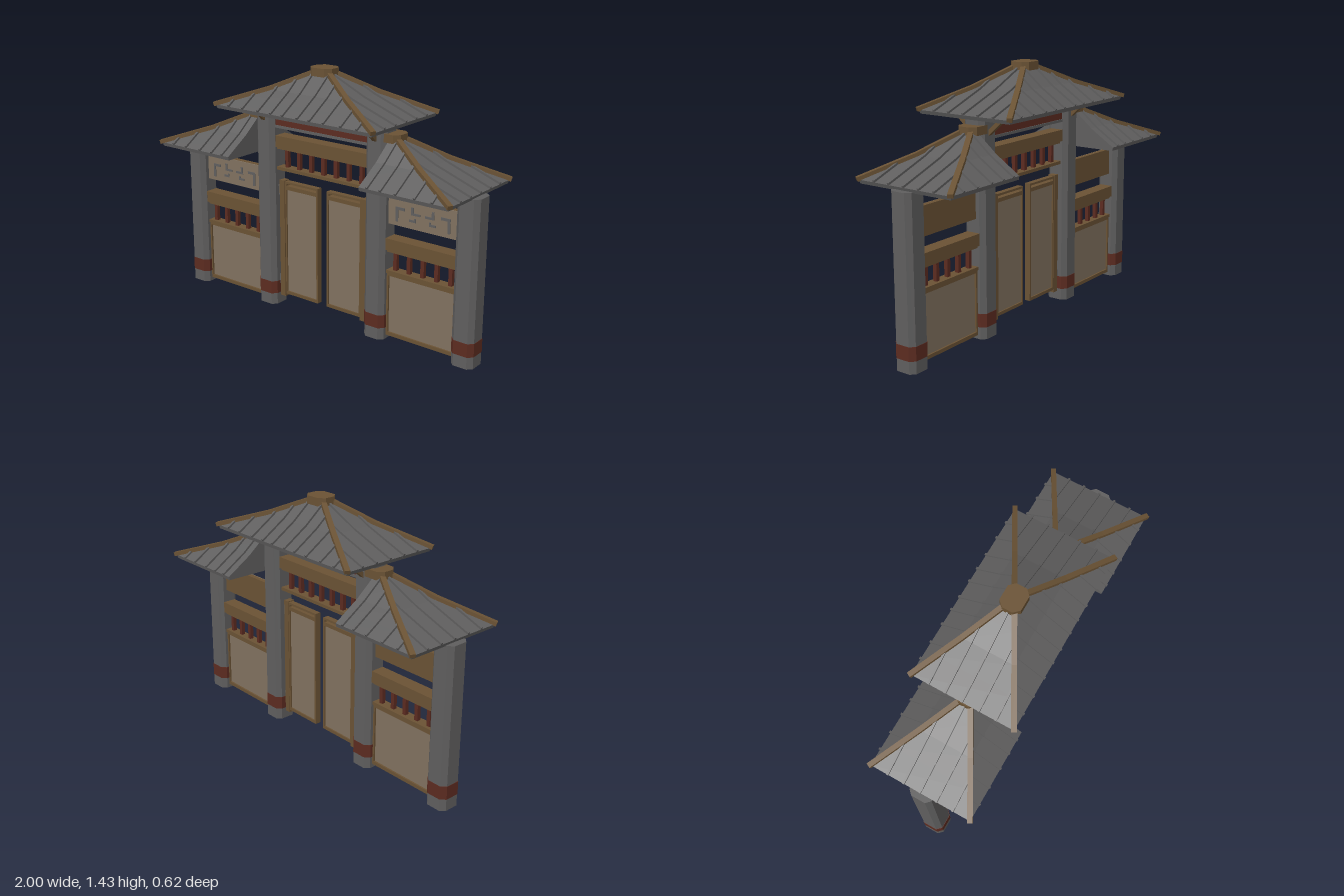
import * as THREE from 'three';

const mat = (name, color) => Object.assign(new THREE.MeshStandardMaterial({ color, flatShading: true }), { name });

export function createModel() {
  const root = new THREE.Group();
  root.name = 'gatehouse';
  const slate = mat('slate grey', 0x5f5e5e);
  const wood = mat('brown wood', 0x6a5234);
  const tan = mat('tan panel', 0x80715f);
  const red = mat('dark red', 0x5c2b20);

  const add = (parent, name, geo, m) => {
    const mesh = new THREE.Mesh(geo, m);
    mesh.name = name;
    parent.add(mesh);
    return mesh;
  };
  // Box given by its limits
  const box = (parent, name, m, x0, x1, y0, y1, z0, z1) => {
    const mesh = add(parent, name, new THREE.BoxGeometry(Math.abs(x1 - x0), y1 - y0, z1 - z0), m);
    mesh.position.set((x0 + x1) / 2, (y0 + y1) / 2, (z0 + z1) / 2);
    return mesh;
  };
  // Upright eight-sided prism with cut corners
  const prism = (parent, name, m, x, z, hx, hz, cut, y0, y1) => {
    const s = new THREE.Shape([
      [-hx + cut, -hz], [hx - cut, -hz], [hx, -hz + cut], [hx, hz - cut],
      [hx - cut, hz], [-hx + cut, hz], [-hx, hz - cut], [-hx, -hz + cut],
    ].map(([a, b]) => new THREE.Vector2(a, b)));
    const geo = new THREE.ExtrudeGeometry(s, { depth: y1 - y0, bevelEnabled: false });
    geo.rotateX(-Math.PI / 2);
    add(parent, name, geo, m).position.set(x, y0, z);
  };
  // Bar between two points, kept upright
  const bar = (parent, name, m, a, b, w, h) => {
    const p = new THREE.Vector3(...a), q = new THREE.Vector3(...b);
    const dir = q.clone().sub(p);
    const len = dir.length();
    dir.normalize();
    const side = new THREE.Vector3(0, 1, 0).cross(dir).normalize();
    const up = dir.clone().cross(side);
    const mesh = add(parent, name, new THREE.BoxGeometry(w, h, len), m);
    mesh.quaternion.setFromRotationMatrix(new THREE.Matrix4().makeBasis(side, up, dir));
    mesh.position.copy(p.add(q).multiplyScalar(0.5));
  };

  // Concave hipped roof; t runs from the peak (0) to the eave (1)
  const W = 0.525, D = 0.292, H = 0.215;
  const height = t => 0.02 + H * (t < 0.5 ? 1 - 1.12 * t : 0.88 * (1 - t));
  const roof = (name, half) => {
    const g = new THREE.Group();
    g.name = name;
    const ring = (t, y) => {
      const l = half ? 0 : -t * W;
      return [[l, y, t * D], [t * W, y, t * D], [t * W, y, -t * D], [l, y, -t * D]];
    };
    const rings = [ring(0.02, height(0.02)), ring(0.25, height(0.25)), ring(0.5, height(0.5)),
      ring(0.75, height(0.75)), ring(1, height(1)), ring(0.985, 0)];
    const pos = [];
    const quad = (a, b, c, d) => pos.push(...a, ...b, ...c, ...a, ...c, ...d);
    for (let k = 0; k < rings.length - 1; k++) {
      const up = rings[k], lo = rings[k + 1];
      for (let i = 0; i < 4; i++) {
        const j = (i + 1) % 4;
        quad(lo[i], lo[j], up[j], up[i]);
      }
    }
    const base = rings[rings.length - 1];
    quad(base[3], base[2], base[1], base[0]);
    const geo = new THREE.BufferGeometry();
    geo.setAttribute('position', new THREE.Float32BufferAttribute(pos, 3));
    geo.computeVertexNormals();
    add(g, 'roofSlope', geo, slate);

    // Raised ribs down each slope, starting at the hip
    const rib = (t0, at) => {
      const stops = t0 < 0.5 ? [t0, 0.5, 1] : [t0, 1];
      for (let i = 0; i < stops.length - 1; i++)
        bar(g, 'roofRib', slate, at(stops[i]), at(stops[i + 1]), 0.012, 0.022);
    };
    for (const x of [0.05, 0.13, 0.22, 0.33, 0.43])
      for (const sx of half ? [1] : [-1, 1])
        for (const sz of [-1, 1])
          rib(Math.max(0.1, x / W), t => [sx * x, height(t), sz * t * D]);
    for (const z of [-0.19, -0.095, 0, 0.095, 0.19])
      for (const sx of half ? [1] : [-1, 1])
        rib(Math.max(0.1, Math.abs(z) / D), t => [sx * t * W, height(t), z]);

    // Hip beams and peak cap
    for (const sx of half ? [1] : [-1, 1])
      for (const sz of [-1, 1]) {
        const at = t => [sx * t * W, height(t) + 0.006, sz * t * D];
        bar(g, 'hipBeam', wood, at(0.08), at(0.5), 0.028, 0.022);
        bar(g, 'hipBeam', wood, at(0.5), at(1.015), 0.028, 0.022);
      }
    prism(g, 'peakCap', wood, 0, 0, 0.072, 0.06, 0.03, 0.2, 0.245);
    root.add(g);
    return g;
  };
  roof('mainRoof', false).position.y = 1.19;
  for (const s of [-1, 1]) {
    const r = roof(s > 0 ? 'leftRoof' : 'rightRoof', true);
    r.position.set(s * 0.445, 0.905, 0);
    if (s < 0) r.rotation.y = Math.PI;
  }

  // Open railing: top beam, slats and bottom rail
  const railing = (parent, x0, x1, y0, y1, y2, count, step) => {
    const mid = (x0 + x1) / 2;
    box(parent, 'railBottom', wood, x0, x1, y0, y0 + 0.018, -0.025, 0.035);
    box(parent, 'railUpper', wood, x0, x1, y1, y1 + 0.014, -0.02, 0.03);
    box(parent, 'railBeam', wood, x0, x1, y1 + 0.014, y2, -0.035, 0.045);
    for (let i = 0; i < count; i++) {
      const x = mid + (i - (count - 1) / 2) * step;
      box(parent, 'railSlat', red, x - 0.011, x + 0.011, y0 + 0.018, y1, -0.006, 0.016);
    }
  };

  // Centre span
  const centre = new THREE.Group();
  centre.name = 'centreSpan';
  root.add(centre);
  box(centre, 'lintel', red, -0.315, 0.315, 1.08, 1.16, -0.03, 0.04);
  box(centre, 'lintelTop', slate, -0.315, 0.315, 1.16, 1.19, -0.04, 0.05);
  box(centre, 'lintelTrim', slate, -0.315, 0.315, 1.065, 1.08, -0.035, 0.045);
  railing(centre, -0.315, 0.315, 0.82, 0.94, 1.02, 7, 0.086);

  for (const s of [-1, 1]) {
    const g = new THREE.Group();
    g.name = s > 0 ? 'leftSide' : 'rightSide';
    root.add(g);
    const part = (name, m, x0, x1, ...rest) => box(g, name, m, s * x0, s * x1, ...rest);

    // Pillars with red bands
    for (const [x, top] of [[0.935, 0.91], [0.38, 1.19]]) {
      prism(g, 'pillar', slate, s * x, 0.006, 0.065, 0.065, 0.025, 0, top);
      prism(g, 'pillarBand', red, s * x, 0.006, 0.067, 0.067, 0.026, 0.068, 0.143);
    }
    // Struts under the main roof
    for (const sz of [-1, 1])
      bar(g, 'roofStrut', wood, [s * 0.38, 1.1, sz * 0.05], [s * 0.38, 1.2, sz * 0.16], 0.026, 0.022);

    // Lower wall panel in its frame
    part('wallPanel', tan, 0.445, 0.87, 0.03, 0.38, -0.008, 0.018);
    part('wallSill', wood, 0.445, 0.87, 0.022, 0.042, -0.018, 0.028);
    part('wallTop', wood, 0.445, 0.87, 0.37, 0.385, -0.018, 0.028);
    part('wallStile', wood, 0.445, 0.456, 0.042, 0.37, -0.018, 0.028);
    part('wallStile', wood, 0.859, 0.87, 0.042, 0.37, -0.018, 0.028);
    railing(g, s > 0 ? 0.445 : -0.87, s > 0 ? 0.87 : -0.445, 0.385, 0.505, 0.585, 5, 0.085);

    // Upper board with a tan face and grey fretwork
    part('upperBoard', wood, 0.445, 0.87, 0.66, 0.815, -0.012, 0.016);
    part('boardFace', tan, 0.445, 0.87, 0.662, 0.813, 0.016, 0.024);
    for (const m of [-1, 1]) {
      const fret = (x0, x1, y0, y1) =>
        part('boardFret', slate, 0.657 + m * x0, 0.657 + m * x1, y0, y1, 0.024, 0.028);
      fret(0.11, 0.165, 0.75, 0.765);
      fret(0.15, 0.165, 0.685, 0.75);
      fret(0.015, 0.07, 0.738, 0.75);
      fret(0.055, 0.07, 0.75, 0.78);
      fret(0.04, 0.08, 0.7, 0.712);
      fret(0.04, 0.05, 0.712, 0.722);
    }

    // Door leaf with post, frame and hinges
    part('doorPost', wood, 0.268, 0.303, 0.055, 0.76, -0.015, 0.028);
    part('doorPanel', tan, 0.04, 0.268, 0.08, 0.72, -0.004, 0.014);
    part('doorTop', wood, 0.032, 0.268, 0.743, 0.755, -0.012, 0.022);
    part('doorRail', wood, 0.032, 0.268, 0.708, 0.73, -0.012, 0.022);
    part('doorFoot', wood, 0.032, 0.268, 0.07, 0.088, -0.012, 0.022);
    part('doorStile', wood, 0.032, 0.043, 0.088, 0.743, -0.012, 0.022);
    part('doorStile', wood, 0.258, 0.268, 0.088, 0.743, -0.012, 0.022);
    for (const y of [0.7, 0.153]) part('doorHinge', slate, 0.295, 0.318, y - 0.03, y + 0.03, -0.008, 0.022);
  }
  return root;
}
